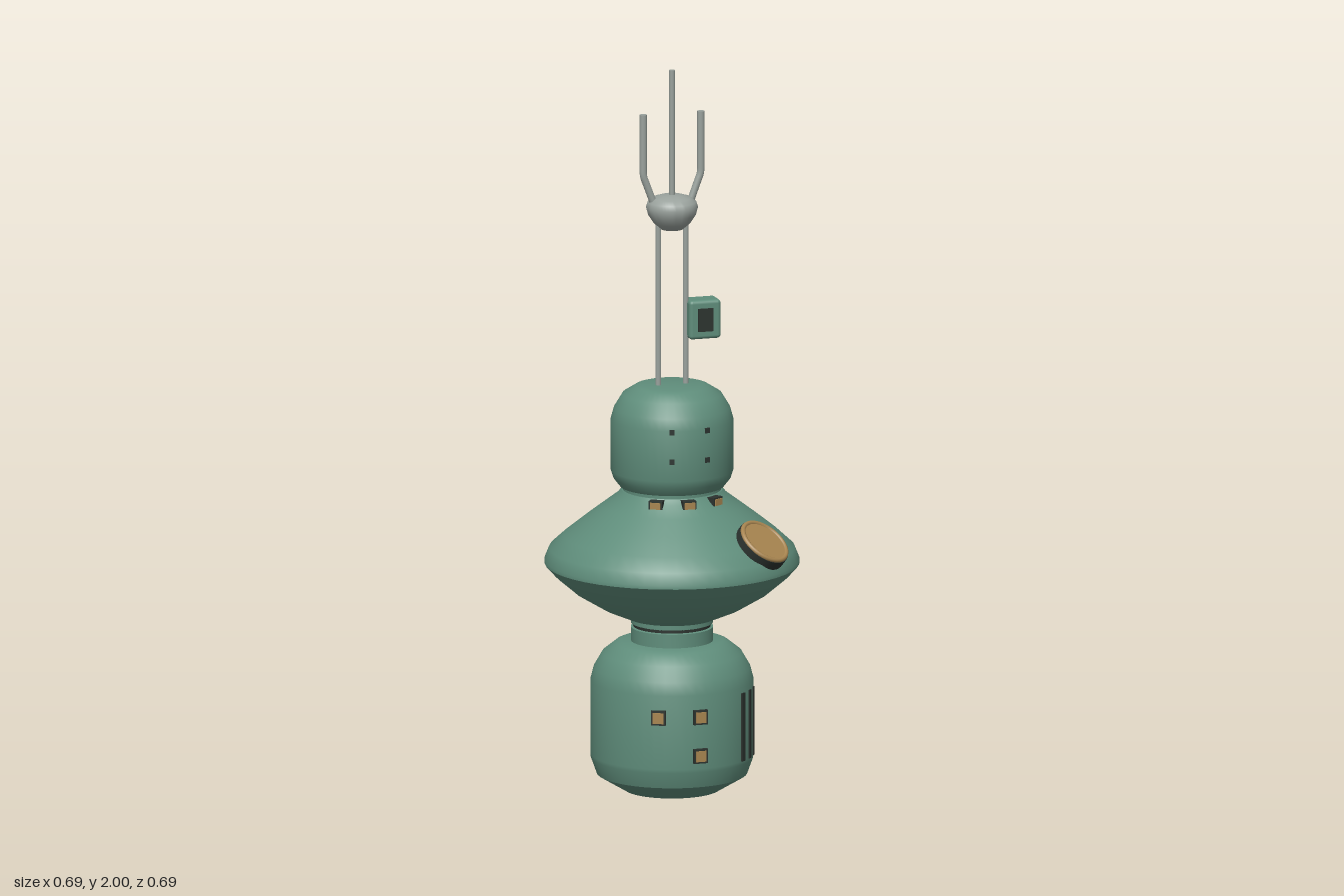
import * as THREE from 'three';
import { toCreasedNormals } from 'three/addons/utils/BufferGeometryUtils.js';
import { RoundedBoxGeometry } from 'three/addons/geometries/RoundedBoxGeometry.js';

const mat = (name, color) => {
  const m = new THREE.MeshStandardMaterial({ color });
  m.name = name;
  return m;
};

export function createModel() {
  const green = mat('green paint', 0x5f8d7b);
  const grey = mat('pale metal', 0x9aa29d);
  const gold = mat('amber', 0xa88550);
  const dark = mat('dark trim', 0x2c332f);
  const model = new THREE.Group();

  const add = (name, geometry, material, parent = model) => {
    const mesh = new THREE.Mesh(geometry, material);
    mesh.name = name;
    parent.add(mesh);
    return mesh;
  };
  // Turned part: profile of [radius, height], bottom to top
  const turned = (name, profile, material, crease = 0.65) => {
    const pts = profile.map(([r, y]) => new THREE.Vector2(r, y));
    return add(name, toCreasedNormals(new THREE.LatheGeometry(pts, 48), crease), material);
  };
  // Group on a round wall, its local +z pointing outward (pitch tips it upward)
  const mount = (name, angle, radius, y, pitch = 0) => {
    const g = new THREE.Group();
    g.name = name;
    g.position.set(Math.sin(angle) * radius, y, Math.cos(angle) * radius);
    g.rotation.set(-pitch, angle, 0, 'YXZ');
    model.add(g);
    return g;
  };

  // Stacked hull
  turned('lowerBody', [[0, 0], [0.13, 0], [0.205, 0.045], [0.221, 0.09], [0.222, 0.1], [0.222, 0.305],
    [0.213, 0.34], [0.19, 0.38], [0.155, 0.408], [0.14, 0.414], [0, 0.414]], green);
  turned('neck', [[0.112, 0.41], [0.112, 0.452], [0.104, 0.454], [0.104, 0.462], [0.112, 0.464],
    [0.112, 0.485]], green);
  turned('neckGroove', [[0.1055, 0.454], [0.1055, 0.462]], dark);
  turned('saucer', [[0, 0.478], [0.12, 0.478], [0.19, 0.508], [0.265, 0.553], [0.32, 0.6], [0.347, 0.63],
    [0.347, 0.64], [0.334, 0.672], [0.295, 0.708], [0.24, 0.752], [0.19, 0.79], [0.15, 0.82],
    [0.138, 0.835], [0, 0.835]], green);
  turned('headCollar', [[0.134, 0.83], [0.134, 0.85]], green);
  turned('head', [[0, 0.845], [0.142, 0.845], [0.16, 0.868], [0.167, 0.89], [0.167, 1.03],
    [0.158, 1.062], [0.135, 1.1], [0.1, 1.122], [0.085, 1.126], [0, 1.126]], green);

  // Amber windows with dark frames on the lower body
  for (const [x, y] of [[-0.1, 0.245], [0.01, 0.245], [0.01, 0.137]]) {
    const g = mount('bodyWindow', Math.asin(x / 0.222), 0.222, y);
    add('windowFrame', new THREE.BoxGeometry(0.04, 0.04, 0.02), dark, g);
    add('windowPane', new THREE.BoxGeometry(0.03, 0.03, 0.009), gold, g).position.z = 0.008;
  }

  // Vent slots on the left front of the lower body
  for (const z of [0.163, 0.13, 0.094]) {
    const g = mount('vent', Math.acos(z / 0.222), 0.221, 0.195);
    add('ventSlot', new THREE.BoxGeometry(0.016, 0.19, 0.008), dark, g);
  }

  // Row of small lamps below the head
  for (const x of [-0.083, 0, 0.083]) {
    const g = mount('collarLamp', Math.asin(x / 0.15), 0.145, 0.82);
    add('lampHousing', new THREE.BoxGeometry(0.038, 0.026, 0.034), dark, g);
    add('lampFace', new THREE.BoxGeometry(0.029, 0.018, 0.008), gold, g).position.z = 0.016;
  }

  // Rivets on the head
  for (const x of [-0.05, 0.05]) {
    for (const y of [0.945, 1.027]) {
      const g = mount('headRivet', Math.asin(x / 0.167), 0.167, y);
      add('rivet', new THREE.BoxGeometry(0.014, 0.014, 0.008), dark, g);
    }
  }

  // Round hatch lamp on the saucer slope
  const hatch = mount('roundLamp', Math.atan2(0.185, 0.228), 0.292, 0.712, 0.88);
  const disc = (name, r, depth, z, m) => {
    add(name, new THREE.CylinderGeometry(r, r, depth, 40).rotateX(Math.PI / 2), m, hatch).position.z = z;
  };
  disc('lampBase', 0.077, 0.04, -0.007, dark);
  disc('lampDisc', 0.07, 0.008, 0.014, gold);
  add('lampRim', new THREE.TorusGeometry(0.069, 0.007, 8, 40), gold, hatch).position.z = 0.015;

  // Twin mast rods
  for (const s of [-1, 1]) {
    add('mastRod', new THREE.CylinderGeometry(0.008, 0.008, 0.48, 12), grey).position.set(s * 0.039, 1.35, 0);
  }

  // Control box on the mast
  add('mastBox', new RoundedBoxGeometry(0.09, 0.108, 0.062, 3, 0.01), green).position.set(0.086, 1.305, 0);
  add('boxScreen', new THREE.BoxGeometry(0.042, 0.064, 0.008), dark).position.set(0.086, 1.305, 0.031);

  // Bowl-shaped antenna hub
  turned('antennaHub', [[0, 1.557], [0.03, 1.558], [0.05, 1.575], [0.065, 1.598], [0.071, 1.62],
    [0.066, 1.634], [0.052, 1.645], [0.03, 1.652], [0, 1.654]], grey, 0.9);

  // Antenna prongs
  add('centreAntenna', new THREE.CylinderGeometry(0.008, 0.008, 0.36, 12), grey).position.y = 1.82;
  for (const s of [-1, 1]) {
    const path = new THREE.CurvePath();
    const p = [[0.05, 1.625], [0.076, 1.695], [0.082, 1.72], [0.082, 1.88]]
      .map(([x, y]) => new THREE.Vector3(s * x, y, 0));
    path.add(new THREE.LineCurve3(p[0], p[1]));
    path.add(new THREE.QuadraticBezierCurve3(p[1], new THREE.Vector3(s * 0.082, 1.708, 0), p[2]));
    path.add(new THREE.LineCurve3(p[2], p[3]));
    add('sideAntenna', new THREE.TubeGeometry(path, 40, 0.01, 12), grey);
    add('antennaTip', new THREE.CylinderGeometry(0.01, 0.01, 0.004, 12), grey).position.set(s * 0.082, 1.879, 0);
  }
  return model;
}
